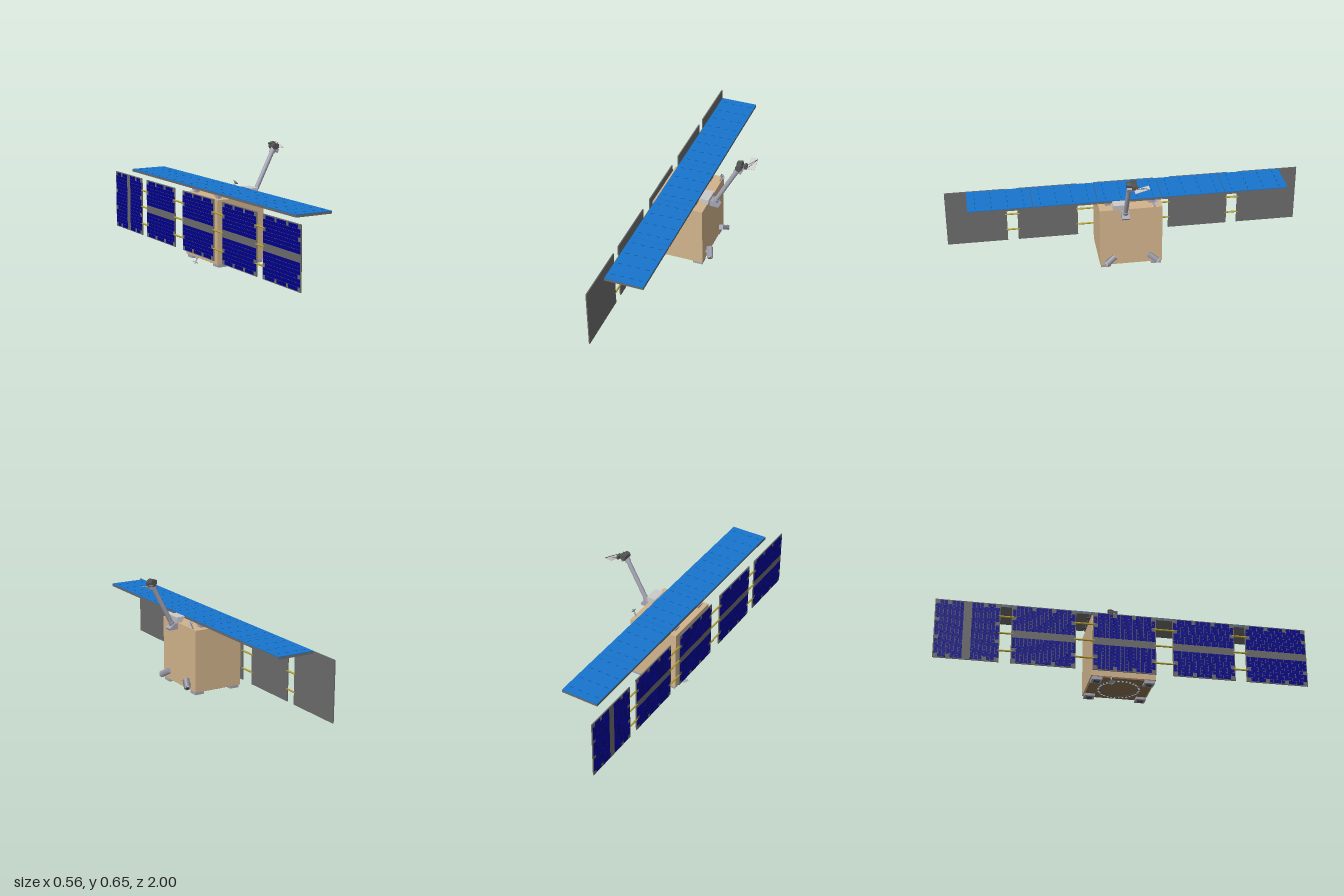
import * as THREE from 'three';
import { mergeGeometries } from 'three/addons/utils/BufferGeometryUtils.js';

const mat = (color) => new THREE.MeshStandardMaterial({ color });
const TAN = mat(0xd2b48c), GREY = mat(0xcccccc), STEEL = mat(0xa4a4b4), DARK = mat(0x555555);
const PANEL = mat(0x6c6c6c), CELL = mat(0x00008b), BLUE = mat(0x1874cd), GOLD = mat(0xb8a030);
const BROWN = mat(0x8a7350);

const boxGeo = (w, h, d, x, y, z) => new THREE.BoxGeometry(w, h, d).translate(x, y, z);

export function createModel() {
  const root = new THREE.Group();
  root.name = 'satellite';
  const craft = new THREE.Group();
  craft.name = 'spacecraft';
  craft.rotation.y = -0.0125;
  root.add(craft);

  const add = (name, geo, material, parent = craft) => {
    const m = new THREE.Mesh(geo, material);
    m.name = name;
    parent.add(m);
    return m;
  };
  const box = (name, material, size, pos, parent) =>
    add(name, boxGeo(...size, ...pos), material, parent);
  // Round bar between two points
  const rod = (name, material, a, b, r, r2 = r, sides = 20) => {
    const p = new THREE.Vector3(...a), q = new THREE.Vector3(...b);
    const m = add(name, new THREE.CylinderGeometry(r2, r, p.distanceTo(q), sides), material);
    m.position.copy(p).add(q).multiplyScalar(0.5);
    m.quaternion.setFromUnitVectors(new THREE.Vector3(0, 1, 0), q.sub(p).normalize());
    return m;
  };
  // Profile in x,y extruded along z
  const prism = (name, material, pts, z0, z1) => {
    const s = new THREE.Shape(pts.map((p) => new THREE.Vector2(...p)));
    const g = new THREE.ExtrudeGeometry(s, { depth: z1 - z0, bevelEnabled: false });
    return add(name, g.translate(0, 0, z0), material);
  };

  // Body
  box('body', TAN, [0.286, 0.348, 0.346], [-0.099, 0.214, 0]);
  box('bodyFloor', BROWN, [0.27, 0.004, 0.33], [-0.099, 0.038, 0]);

  // Launch adapter ring with bolts
  const ringProfile = [[0.098, 0.04], [0.098, 0.031], [0.112, 0.031], [0.112, 0.04]];
  const ring = add('adapterRing', new THREE.LatheGeometry(
    ringProfile.map((p) => new THREE.Vector2(...p)), 48), DARK);
  ring.material = mat(0x666666);
  ring.material.side = THREE.DoubleSide;
  ring.position.x = -0.099;
  const bolts = [];
  for (let i = 0; i < 32; i++) {
    const a = (i / 32) * Math.PI * 2;
    bolts.push(new THREE.BoxGeometry(0.009, 0.006, 0.009).rotateY(-a)
      .translate(-0.099 + 0.108 * Math.cos(a), 0.031, 0.108 * Math.sin(a)));
  }
  add('adapterBolts', mergeGeometries(bolts), GREY);

  // Corner feet with thruster openings
  for (const x of [-0.208, 0.014]) for (const z of [-0.14, 0.14]) {
    box('cornerFoot', STEEL, [0.055, 0.016, 0.055], [x, 0.031, z]);
    box('thrusterOpening', DARK, [0.032, 0.003, 0.032], [x, 0.0225, z]);
  }

  // Solar array: five panels on one plane, joined by rods
  const PX = -0.262, PY = 0.229, PH = 0.332;
  [-0.83, -0.43, 0, 0.43, 0.83].forEach((z, n) => {
    const g = new THREE.Group();
    g.name = 'solarPanel';
    g.position.set(PX, PY, z);
    craft.add(g);
    box('panelBoard', PANEL, [0.006, PH, 0.34], [0, 0, 0], g);
    // Cells leave a central band and notches along the border
    const N = 16, sz = 0.332 / N, sy = 0.324 / N, cells = [];
    for (let i = 0; i < N; i++) for (let j = 0; j < N; j++) {
      const along = n === 0 ? j : i, across = n === 0 ? i : j;
      const band = across === 7 || across === 8;
      const edge = across === 0 || across === N - 1;
      const notch = edge && [0, 5, 10, 15].includes(along);
      const endNotch = (along === 0 || along === N - 1) && (across === 3 || across === 12);
      if (band || notch || endNotch) continue;
      cells.push(boxGeo(0.002, sy * 0.92, sz * 0.92,
        -0.0036, (j - (N - 1) / 2) * sy, (i - (N - 1) / 2) * sz));
    }
    add('solarCells', mergeGeometries(cells), CELL, g);
  });
  for (const y of [0.13, 0.23, 0.325])
    for (const [a, b] of [[0.16, 0.27], [0.59, 0.67]]) for (const s of [-1, 1])
      rod('panelRod', GOLD, [PX, y, s * a], [PX, y, s * b], 0.005, 0.005, 10);
  for (const y of [0.12, 0.333]) for (const z of [-0.09, 0.09])
    box('panelHinge', STEEL, [0.02, 0.016, 0.03], [-0.25, y, z]);

  // Radar antenna: five tiles above the body
  const slots = [];
  for (let n = -2; n <= 2; n++) {
    const z = n * 0.353;
    box('antennaTile', PANEL, [0.211, 0.012, 0.35], [-0.11, 0.411, z]);
    box('antennaFace', BLUE, [0.211, 0.003, 0.35], [-0.11, 0.4185, z]);
    for (let i = 0; i < 4; i++) for (let j = 0; j < 4; j++)
      slots.push(boxGeo(0.022, 0.001, 0.003, -0.185 + i * 0.05, 0.4203, z - 0.132 + j * 0.088));
  }
  add('antennaSlots', mergeGeometries(slots), mat(0x0f4f92));
  for (const x of [-0.205, -0.02]) for (const z of [-0.12, 0.12]) {
    box('antennaMount', STEEL, [0.022, 0.016, 0.03], [x, 0.396, z]);
    box('antennaMountCap', STEEL, [0.032, 0.006, 0.04], [x, 0.402, z]);
  }
  for (const z of [-0.53, -0.1765, 0.1765, 0.53])
    for (const x of [-0.17, -0.05])
      box('tileHinge', DARK, [0.02, 0.005, 0.03], [x, 0.403, z]);

  // Equipment box and bracket at the foot of the mast
  prism('equipmentBox', GREY, [[0.002, 0.42], [0.054, 0.42], [0.05, 0.392], [0.022, 0.388]], 0.012, 0.1);
  prism('mastBracket', STEEL,
    [[0.04, 0.386], [0.062, 0.386], [0.098, 0.36], [0.092, 0.35], [0.044, 0.352]], 0.015, 0.057);

  // Mast and its pointing head
  rod('mast', STEEL, [0.066, 0.372, 0.036], [0.193, 0.612, 0.032], 0.0125, 0.0125, 24);
  rod('mastCollar', STEEL, [0.064, 0.368, 0.036], [0.078, 0.395, 0.036], 0.016, 0.016, 24);
  rod('headCollar', STEEL, [0.184, 0.596, 0.032], [0.199, 0.622, 0.032], 0.016, 0.016, 24);
  rod('headJoint', DARK, [0.2, 0.63, 0.002], [0.2, 0.63, 0.05], 0.018, 0.018, 16);
  const head = box('headBlock', DARK, [0.03, 0.026, 0.03], [0, 0, 0]);
  head.position.set(0.2, 0.638, 0.012);
  head.rotation.z = 0.25;
  prism('headBracket', STEEL, [[0.203, 0.602], [0.214, 0.594], [0.222, 0.612], [0.212, 0.624]], 0.012, 0.048);
  rod('headArm', DARK, [0.205, 0.63, 0.014], [0.237, 0.628, 0.01], 0.007, 0.007, 12);
  box('feedBlock', DARK, [0.014, 0.022, 0.03], [0.23, 0.627, 0.008]);
  // Thin reflector plate, tilted up toward its far edge
  const plate = box('reflectorPlate', GREY, [0.042, 0.002, 0.08], [0, 0, 0]);
  plate.position.set(0.256, 0.628, -0.025);
  plate.rotation.set(0.28, 0, 0.04);
  rod('plateStrut', DARK, [0.236, 0.618, 0.012], [0.276, 0.638, -0.058], 0.0015, 0.0015, 6);
  rod('plateStrut', DARK, [0.236, 0.638, 0.012], [0.276, 0.639, -0.058], 0.0015, 0.0015, 6);

  // Star trackers, mirrored on the +x face
  for (const s of [-1, 1]) {
    const c = (t) => [0.068 + 0.01 * t, 0.08 - 0.017 * t, s * (0.118 + 0.025 * t)];
    rod('trackerStand', STEEL, [0.042, 0.078, s * 0.115], [0.068, 0.08, s * 0.118], 0.009, 0.009, 12);
    rod('trackerHousing', STEEL, c(-1), c(1), 0.019, 0.019, 4);
    rod('trackerRim', GREY, c(0.95), c(1.08), 0.014, 0.015, 20);
    rod('trackerLens', DARK, c(1.0), c(1.1), 0.01, 0.01, 20);
  }

  // Small dish antennas: one under the body, one on top
  const dishGeo = new THREE.LatheGeometry(
    [[0, 0], [0.006, 0.001], [0.012, 0.004], [0.016, 0.008]].map((p) => new THREE.Vector2(...p)), 20);
  const dishMat = mat(0xa4a4b4);
  dishMat.side = THREE.DoubleSide;
  const dish = (foot, tip, aim) => {
    rod('dishStand', STEEL, foot, tip, 0.005, 0.003, 10);
    const d = add('dish', dishGeo, dishMat);
    d.position.set(...tip);
    const dir = new THREE.Vector3(...aim).normalize();
    d.quaternion.setFromUnitVectors(new THREE.Vector3(0, 1, 0), dir);
    const end = new THREE.Vector3(...tip).addScaledVector(dir, 0.014);
    rod('dishFeed', DARK, tip, end.toArray(), 0.0015, 0.0015, 6);
  };
  dish([-0.23, 0.042, -0.065], [-0.241, 0.016, -0.065], [-0.45, -0.85, 0]);
  dish([0.035, 0.385, -0.13], [0.046, 0.415, -0.13], [0.75, 0.65, 0]);

  return root;
}
